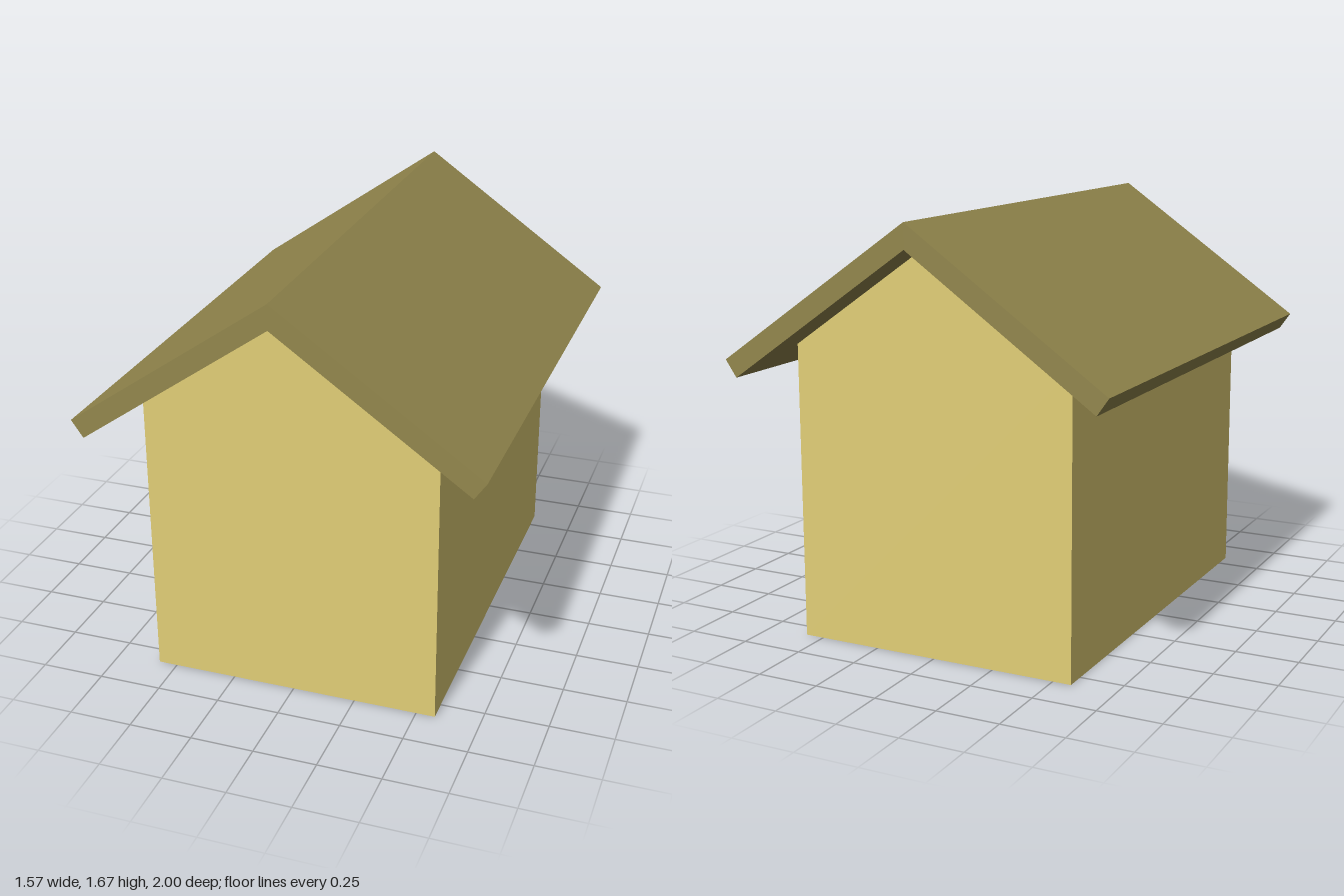
import * as THREE from 'three';

// Extrudes an x-y outline along z, centred on z = 0
function prism(name, points, depth, color) {
  const shape = new THREE.Shape(points.map(([x, y]) => new THREE.Vector2(x, y)));
  const geometry = new THREE.ExtrudeGeometry(shape, { depth, bevelEnabled: false });
  geometry.translate(0, 0, -depth / 2);
  const mesh = new THREE.Mesh(geometry, new THREE.MeshStandardMaterial({ color }));
  mesh.name = name;
  return mesh;
}

// Completes a right-half outline with its mirror image
const mirrored = (half) => [...half, ...half.slice().reverse().filter(([x]) => x > 0).map(([x, y]) => [-x, y])];

export function createModel() {
  const group = new THREE.Group();
  group.name = 'house';

  // Gabled body
  const body = mirrored([[0.575, 0], [0.575, 1.166], [0, 1.57]]);
  group.add(prism('walls', body, 1.666, 0xe2cf77));

  // Pitched roof with overhanging eaves and gables
  const roof = [
    [0, 1.667], [-0.787, 1.116], [-0.741, 1.05],
    [0, 1.57], [0.741, 1.05], [0.787, 1.116],
  ];
  group.add(prism('roof', roof, 2, 0x93874d));

  // Floor panel, inset within the walls and flush with the underside
  const floor = new THREE.Mesh(
    new THREE.BoxGeometry(0.99, 0.04, 1.5),
    new THREE.MeshStandardMaterial({ color: 0x888888 })
  );
  floor.name = 'floor';
  floor.position.y = 0.019;
  group.add(floor);

  return group;
}
